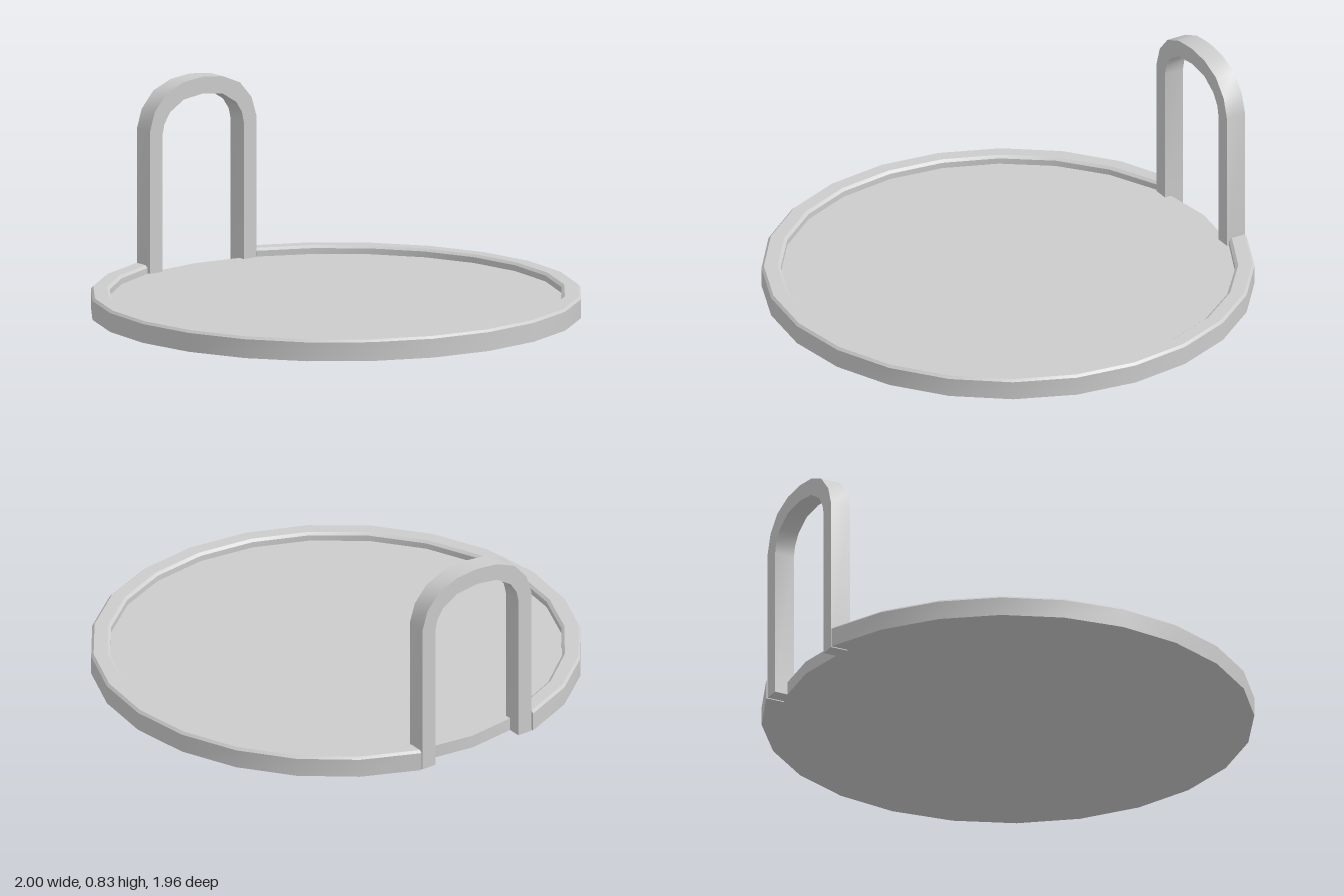
import * as THREE from 'three';
import { toCreasedNormals } from 'three/addons/utils/BufferGeometryUtils.js';

const CENTER_Z = -0.02;   // centre of the round tray
const GAP = 0.282;        // half width of the rim opening at the back
const RIM = [[0.922, 0], [1, 0], [1, 0.078], [0.99, 0.088], [0.934, 0.088], [0.922, 0.078]];

// Rim profile swept around the tray, its ends cut flat at x = +-GAP
function rimGeometry() {
  const back = 5, front = 6, steps = 2 * (back + front), n = RIM.length;
  const positions = [], index = [];
  for (let i = 0; i <= steps; i++) {
    const k = Math.min(i, steps - i);
    for (const [r, y] of RIM) {
      const start = Math.asin(GAP / r), q = Math.PI / 2;
      const half = k < back ? start + (q - start) * k / back : q + q * (k - back) / front;
      const side = i <= steps / 2 ? 1 : -1;
      positions.push(side * r * Math.sin(half), y, CENTER_Z - r * Math.cos(half));
    }
  }
  for (let i = 0; i < steps; i++) {
    for (let j = 0; j < n; j++) {
      const a = i * n + j, b = i * n + (j + 1) % n;
      index.push(a, b, a + n, b, b + n, a + n);
    }
  }
  // end caps
  const end = steps * n;
  for (let j = 1; j < n - 1; j++) index.push(0, j + 1, j, end, end + j, end + j + 1);
  const geometry = new THREE.BufferGeometry();
  geometry.setAttribute('position', new THREE.Float32BufferAttribute(positions, 3));
  geometry.setIndex(index);
  return toCreasedNormals(geometry, 0.5);
}

// Arched loop: outer outline up and over, inner outline back
function handleGeometry() {
  const outer = [[0.275, 0], [0.275, 0.64], [0.25, 0.72], [0.19, 0.788], [0.1, 0.825], [0, 0.835]];
  const inner = [[0.21, 0], [0.21, 0.62], [0.2, 0.665], [0.17, 0.71], [0.1, 0.753], [0, 0.766]];
  const arch = half => [...half, ...half.slice(0, -1).reverse().map(([x, y]) => [-x, y])];
  const points = [...arch(outer), ...arch(inner).reverse()];
  const shape = new THREE.Shape(points.map(([x, y]) => new THREE.Vector2(x, y)));
  const geometry = new THREE.ExtrudeGeometry(shape, { depth: 0.086, bevelEnabled: false });
  geometry.translate(0, 0, -0.977);
  return toCreasedNormals(geometry, 0.6);
}

export function createModel() {
  const group = new THREE.Group();
  const material = new THREE.MeshStandardMaterial({ color: 0xcccccc });
  const add = (name, geometry) => {
    const mesh = new THREE.Mesh(geometry, material);
    mesh.name = name;
    group.add(mesh);
  };

  // Flat round floor, tucked slightly into the rim
  const floor = new THREE.CylinderGeometry(0.928, 0.928, 0.054, 24);
  floor.translate(0, 0.027, CENTER_Z);
  add('trayFloor', floor);
  add('trayRim', rimGeometry());
  add('handle', handleGeometry());
  return group;
}
